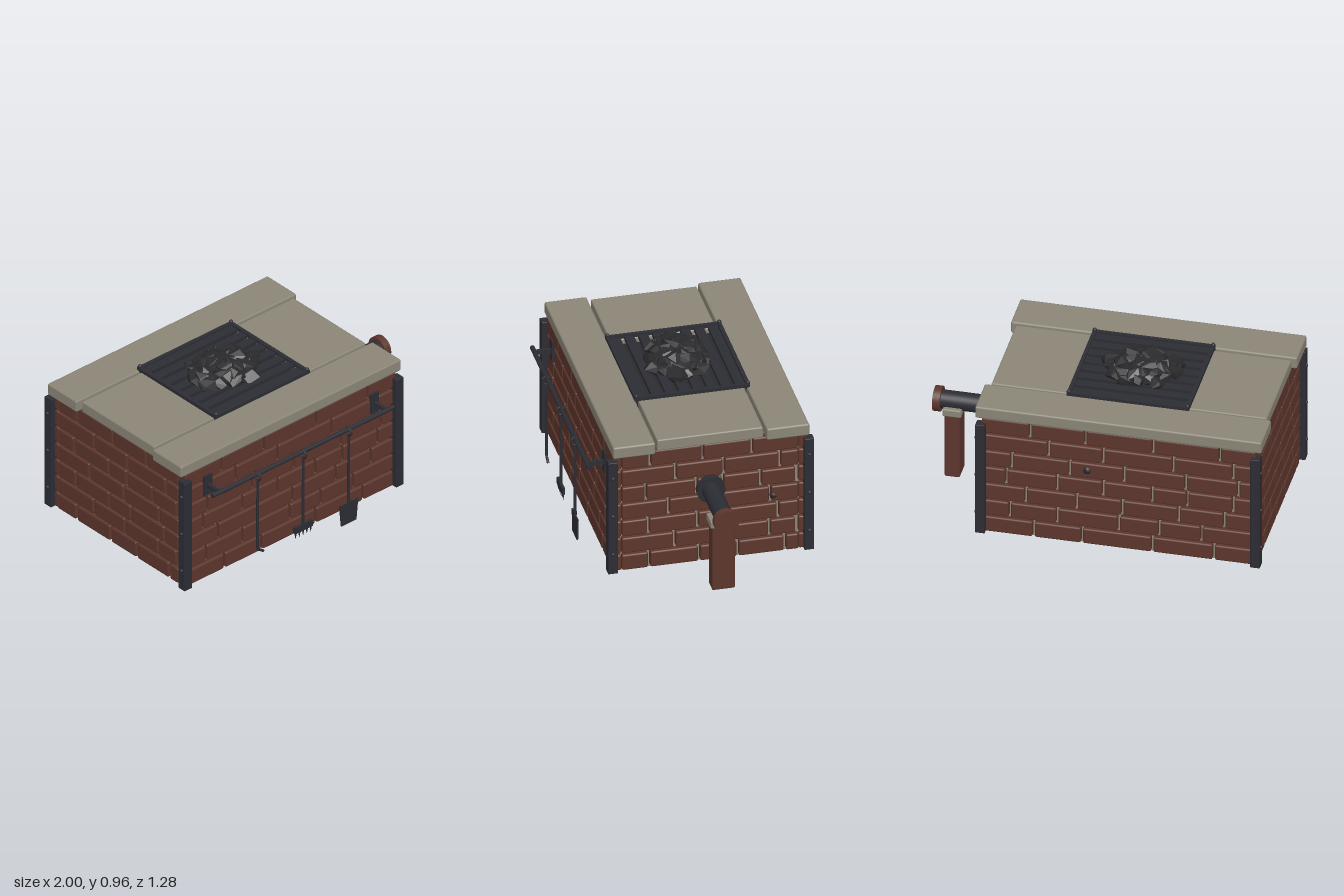
import * as THREE from 'three';
import { RoundedBoxGeometry } from 'three/addons/geometries/RoundedBoxGeometry.js';
import { ConvexGeometry } from 'three/addons/geometries/ConvexGeometry.js';

const mat = (name, color) => Object.assign(new THREE.MeshStandardMaterial({ color }), { name });

export function createModel() {
  const brick = mat('brick', 0x5c362c);
  const stone = mat('stone', 0x8b8677);
  const iron = mat('iron', 0x2c2c34);
  const coal = mat('coal', 0x2a2a2d);

  const model = new THREE.Group();
  model.name = 'forge';

  let seed = 7;
  const rand = () => (seed = (seed * 16807) % 2147483647) / 2147483647;

  const group = (name, parent = model) => {
    const g = new THREE.Group();
    g.name = name;
    parent.add(g);
    return g;
  };
  const add = (name, geo, material, parent = model, x = 0, y = 0, z = 0) => {
    const m = new THREE.Mesh(geo, material);
    m.name = name;
    m.position.set(x, y, z);
    parent.add(m);
    return m;
  };
  // Box given by its limits on each axis, bevelled when r > 0
  const box = (name, material, [x0, x1], [y0, y1], [z0, z1], r = 0, parent = model) => {
    const s = [x1 - x0, y1 - y0, z1 - z0];
    const geo = r ? new RoundedBoxGeometry(...s, 1, r) : new THREE.BoxGeometry(...s);
    return add(name, geo, material, parent, (x0 + x1) / 2, (y0 + y1) / 2, (z0 + z1) / 2);
  };
  // Cylinder lying along x
  const xCylinder = (name, material, radius, x0, x1, y, z, parent = model, sides = 32) => {
    const m = add(name, new THREE.CylinderGeometry(radius, radius, x1 - x0, sides), material, parent, (x0 + x1) / 2, y, z);
    m.rotation.z = Math.PI / 2;
    return m;
  };

  // Mortar core
  box('mortarCore', stone, [-0.93, 0.572], [0.003, 0.76], [-0.575, 0.472]);

  // Brick walls: vertical joints of each course, bottom to top
  const frontJoints = [
    [-0.665, -0.39, 0.01, 0.36],
    [-0.8, -0.53, -0.18, 0.05, 0.29],
    [-0.71, -0.42, -0.16, 0.16, 0.42],
    [-0.82, -0.53, -0.27, 0.01, 0.21, 0.47],
    [-0.79, -0.46, -0.15, 0.2, 0.5],
    [-0.58, -0.27, 0.13, 0.47],
    [-0.685, -0.37, 0.015, 0.395],
  ];
  const sideJoints = [
    [0.295, 0.01, -0.21, -0.48],
    [0.15, -0.11, -0.39, -0.545],
    [0.3, 0.02, -0.16, -0.44],
    [0.185, -0.1, -0.395],
    [0.315, 0.025, -0.125, -0.34, -0.545],
    [0.145, -0.13, -0.45],
    [0.29, -0.01, -0.29],
  ];
  const wall = (name, courses, lo, hi, place) => {
    const g = group(name);
    courses.forEach((joints, row) => {
      const y = 0.014 + row * 0.1085;
      const ends = [lo, ...[...joints].sort((a, b) => a - b), hi];
      for (let i = 0; i + 1 < ends.length; i++) {
        const a = ends[i] + 0.007, b = ends[i + 1] - 0.007;
        if (b - a < 0.012) continue;
        place(g, [a, b], [y, y + 0.096], Math.min(0.009, (b - a) / 2.5));
      }
    });
  };
  const mirrored = (courses, sum) => courses.map((c) => c.map((v) => sum - v));
  wall('frontWall', frontJoints, -0.967, 0.607, (g, u, y, r) => box('brick', brick, u, y, [0.452, 0.505], r, g));
  wall('backWall', mirrored(frontJoints, -0.36), -0.967, 0.607, (g, u, y, r) => box('brick', brick, u, y, [-0.61, -0.557], r, g));
  wall('leftWall', sideJoints, -0.563, 0.457, (g, u, y, r) => box('brick', brick, [0.552, 0.605], y, u, r, g));
  wall('rightWall', mirrored(sideJoints, -0.106), -0.563, 0.457, (g, u, y, r) => box('brick', brick, [-0.965, -0.912], y, u, r, g));

  // Small dark chips set in the brickwork
  add('wallChip', new THREE.SphereGeometry(0.022, 10, 8), coal, model, 0.59, 0.375, -0.415);
  add('wallChip', new THREE.SphereGeometry(0.025, 10, 8), coal, model, 0.0, 0.5, -0.6);

  // Corner irons with bolts
  for (const [x, side] of [[-0.963, -1], [0.603, 1]]) {
    for (const z of [0.508, -0.612]) {
      const g = group('cornerIron');
      box('post', iron, [x - 0.0275, x + 0.0275], [0.015, 0.73], [z - 0.0275, z + 0.0275], 0.003, g);
      for (const y of [0.14, 0.385, 0.63]) {
        add('bolt', new THREE.SphereGeometry(0.011, 10, 8), iron, g, x + side * 0.0265, y, z);
      }
    }
  }

  // Stone top around the fire pit
  box('frontSlab', stone, [-0.993, 0.637], [0.757, 0.83], [0.267, 0.508], 0.01);
  box('backSlab', stone, [-0.993, 0.637], [0.757, 0.83], [-0.612, -0.368], 0.01);
  box('rightSlab', stone, [-0.965, -0.505], [0.757, 0.826], [-0.355, 0.25], 0.008);
  box('leftSlab', stone, [0.145, 0.603], [0.757, 0.826], [-0.355, 0.25], 0.008);
  box('ashBed', coal, [-0.52, 0.16], [0.76, 0.795], [-0.38, 0.265]);

  // Grate with frame, bars and corner pins
  const grate = group('grate');
  for (const z of [-0.375, 0.262]) box('frameBar', iron, [-0.528, 0.168], [0.828, 0.849], [z - 0.011, z + 0.011], 0, grate);
  for (const x of [-0.517, 0.157]) {
    box('frameBar', iron, [x - 0.011, x + 0.011], [0.828, 0.849], [-0.375, 0.262], 0, grate);
    for (const z of [-0.375, 0.262]) {
      add('pin', new THREE.CylinderGeometry(0.012, 0.012, 0.04, 10), iron, grate, x, 0.835, z);
      add('pinHead', new THREE.SphereGeometry(0.012, 10, 8), iron, grate, x, 0.853, z);
    }
  }
  for (let i = 0; i < 8; i++) {
    const z = -0.335 + i * 0.0795;
    box('grateBar', iron, [-0.517, 0.157], [0.818, 0.84], [z - 0.027, z + 0.027], 0, grate);
  }

  // Heap of faceted coal lumps on a golden-angle spiral
  const heap = group('coalHeap');
  for (let i = 0; i < 46; i++) {
    const t = Math.sqrt(i / 45), a = i * 2.39996;
    const size = 0.042 + rand() * 0.022;
    const points = [];
    for (let k = 0; k < 13; k++) {
      const h = 1 - (2 * (k + 0.5)) / 13;
      const w = Math.sqrt(1 - h * h), b = k * 2.39996 + rand();
      const s = size * (0.8 + 0.4 * rand());
      points.push(new THREE.Vector3(w * Math.cos(b) * s * 1.2, h * s * 0.8, w * Math.sin(b) * s));
    }
    const lump = add('coalLump', new ConvexGeometry(points), coal, heap,
      -0.195 + 0.19 * t * Math.cos(a), 0.852 + 0.07 * (1 - t ** 1.5), -0.055 + 0.15 * t * Math.sin(a));
    lump.rotation.y = rand() * 6;
  }

  // Blower pipe with flange, brick end cap and support
  const pipe = group('blowerPipe');
  xCylinder('pipe', iron, 0.053, 0.58, 0.96, 0.478, -0.052, pipe);
  xCylinder('flange', iron, 0.081, 0.595, 0.632, 0.478, -0.052, pipe);
  xCylinder('endCap', brick, 0.072, 0.953, 0.995, 0.478, -0.052, pipe);
  box('supportPost', brick, [0.838, 0.926], [0.01, 0.418], [-0.117, 0.014], 0.008, pipe);
  box('supportCap', stone, [0.828, 0.936], [0.413, 0.46], [-0.13, 0.026], 0.008, pipe);

  // Tool rail on two brackets
  const rail = group('toolRail');
  xCylinder('rail', iron, 0.014, -0.853, 0.488, 0.63, 0.61, rail, 12);
  for (const x of [-0.798, 0.436]) {
    box('bracketPlate', iron, [x - 0.029, x + 0.029], [0.568, 0.697], [0.5, 0.517], 0, rail);
    box('bracketArm', iron, [x - 0.01, x + 0.01], [0.618, 0.642], [0.505, 0.61], 0, rail);
  }

  // Hanging tools: ring and shaft, then each working end
  const tool = (name, x) => {
    const g = group(name);
    g.position.set(x, 0, 0.61);
    add('ring', new THREE.TorusGeometry(0.024, 0.006, 8, 20), iron, g, 0, 0.613, 0).rotation.y = Math.PI / 2;
    add('shaft', new THREE.CylinderGeometry(0.007, 0.009, 0.455, 10), iron, g, 0, 0.362, 0);
    return g;
  };
  const poker = tool('poker', -0.517);
  const hook = new THREE.CatmullRomCurve3([[0, 0.145], [0.005, 0.122], [0.022, 0.112], [0.042, 0.098]]
    .map(([x, y]) => new THREE.Vector3(x, y, 0)));
  add('hook', new THREE.TubeGeometry(hook, 10, 0.008, 8), iron, poker);

  const rake = tool('rake', -0.18);
  box('rakeHead', iron, [-0.066, 0.066], [0.108, 0.148], [-0.008, 0.008], 0, rake);
  for (let i = 0; i < 5; i++) {
    const tooth = add('tooth', new THREE.ConeGeometry(0.008, 0.045, 6), iron, rake, -0.056 + i * 0.028, 0.09, 0);
    tooth.rotation.x = Math.PI;
  }

  const shovel = tool('shovel', 0.157);
  const blade = new THREE.Shape([[-0.068, 0.14], [-0.055, 0.005], [0.055, 0.005], [0.068, 0.14]]
    .map(([x, y]) => new THREE.Vector2(x, y)));
  add('blade', new THREE.ExtrudeGeometry(blade, { depth: 0.008, bevelEnabled: false }), iron, shovel, 0, 0, -0.004);
  add('socket', new THREE.CylinderGeometry(0.01, 0.005, 0.08, 10), iron, shovel, 0, 0.12, 0);

  return model;
}
